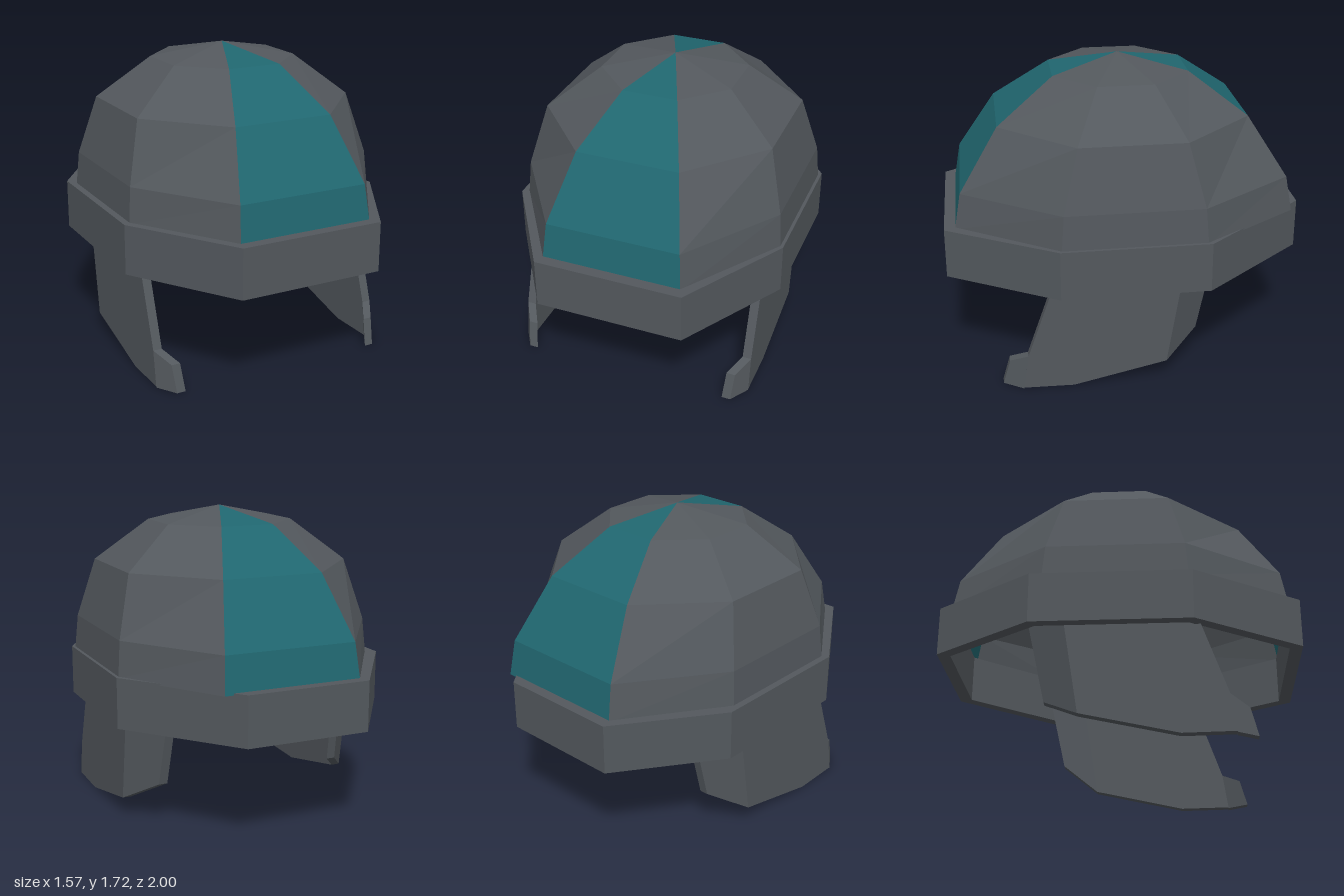
import * as THREE from 'three';

const paint = (color) => new THREE.MeshStandardMaterial({ color, flatShading: true, side: THREE.DoubleSide });

// Flat-shaded mesh from a list of quads, each with four corners in counter-clockwise order
function quadMesh(name, quads, material) {
  const pos = [];
  for (const [a, b, c, d] of quads) pos.push(...a, ...b, ...c, ...a, ...c, ...d);
  const geo = new THREE.BufferGeometry();
  geo.setAttribute('position', new THREE.Float32BufferAttribute(pos, 3));
  geo.computeVertexNormals();
  const mesh = new THREE.Mesh(geo, material);
  mesh.name = name;
  return mesh;
}

// Quads joining two eight-cornered loops, one per side, starting with the front side
const band = (low, high) => low.map((p, i) => {
  const j = (i + 1) % low.length;
  return [p, low[j], high[j], high[i]];
});

// Eight-cornered dome loop: front corners at (fx, fz), side corners at (sx, sz)
const domeLoop = ([y, fx, fz, sx, sz]) => [
  [-fx, fz], [fx, fz], [sx, sz], [sx, -sz], [fx, -fz], [-fx, -fz], [-sx, -sz], [-sx, sz],
].map(([x, z]) => [x + 0.01, y, z]);

// Cheek guard: a flat plate whose front tip and rear flap fold inward
function cheekGuard(name, material) {
  const group = new THREE.Group();
  group.name = name;
  const backFold = (y) => -0.265 + 0.156 * (0.6 - y);
  const frontFold = (y) => 0.58 + 0.15 * (0.21 - y);
  const panels = {
    cheekPlate: [[0.41, 0.7], [0.58, 0.21], [0.61, 0.01], [0.33, 0.005], [-0.19, 0.12], [backFold(0.7), 0.7]],
    cheekTip: [[0.58, 0.21], [0.68, 0.155], [0.72, 0.005], [0.61, 0.005]],
    cheekRearFlap: [[backFold(0.7), 0.7], [-0.19, 0.12], [-0.38, 0.24], [-0.48, 0.7]],
  };
  for (const [part, outline] of Object.entries(panels)) {
    const shape = new THREE.Shape(outline.map(([z, y]) => new THREE.Vector2(z, y)));
    const geo = new THREE.ExtrudeGeometry(shape, { depth: 0.05, bevelEnabled: false });
    const p = geo.attributes.position;
    for (let i = 0; i < p.count; i++) {
      const z = p.getX(i), y = p.getY(i);
      const fold = 0.65 * Math.max(0, z - frontFold(y)) + 0.85 * Math.max(0, backFold(y) - z);
      p.setXYZ(i, 0.7 - p.getZ(i) - fold, y, z);
    }
    geo.computeVertexNormals();
    const mesh = new THREE.Mesh(geo, material);
    mesh.name = part;
    group.add(mesh);
  }
  return group;
}

export function createModel() {
  const model = new THREE.Group();
  model.name = 'helmet';
  const steel = paint(0x53585d);
  const teal = paint(0x20666f);

  // Faceted dome with teal front and back panels
  const loops = [
    [0.87, 0.39, 0.94, 0.758, 0.39],
    [1.07, 0.375, 0.905, 0.742, 0.375],
    [1.41, 0.287, 0.69, 0.655, 0.29],
    [1.64, 0.155, 0.375, 0.375, 0.155],
    [1.72, 0, 0, 0, 0],
  ].map(domeLoop);
  const panels = Array.from({ length: 8 }, () => []);
  for (let k = 0; k < loops.length - 1; k++) {
    band(loops[k], loops[k + 1]).forEach((quad, i) => panels[i].push(quad));
  }
  model.add(quadMesh('domeFrontPanel', panels[0], teal));
  model.add(quadMesh('domeBackPanel', panels[4], teal));
  model.add(quadMesh('domeSides', panels.filter((_, i) => i % 4).flat(), steel));

  // Thick band around the base of the dome
  const rim = [
    [-0.4, 1], [0.43, 1], [0.785, 0.4], [0.785, -0.41],
    [0.3, -1], [-0.4, -1], [-0.785, -0.45], [-0.785, 0.41],
  ];
  const rimLoop = (y, s) => rim.map(([x, z]) => [x * s, y, z * s]);
  const outerLow = rimLoop(0.6, 1), outerHigh = rimLoop(0.88, 1);
  const innerLow = rimLoop(0.6, 0.93), innerHigh = rimLoop(0.88, 0.93);
  model.add(quadMesh('rimBand', [
    ...band(outerLow, outerHigh),
    ...band(outerHigh, innerHigh),
    ...band(innerHigh, innerLow),
    ...band(innerLow, outerLow),
  ], steel));

  // Cheek guards, mirrored
  const left = cheekGuard('leftCheekGuard', steel);
  const right = cheekGuard('rightCheekGuard', steel);
  right.scale.x = -1;
  left.position.x = right.position.x = -0.01;
  model.add(left, right);

  return model;
}
